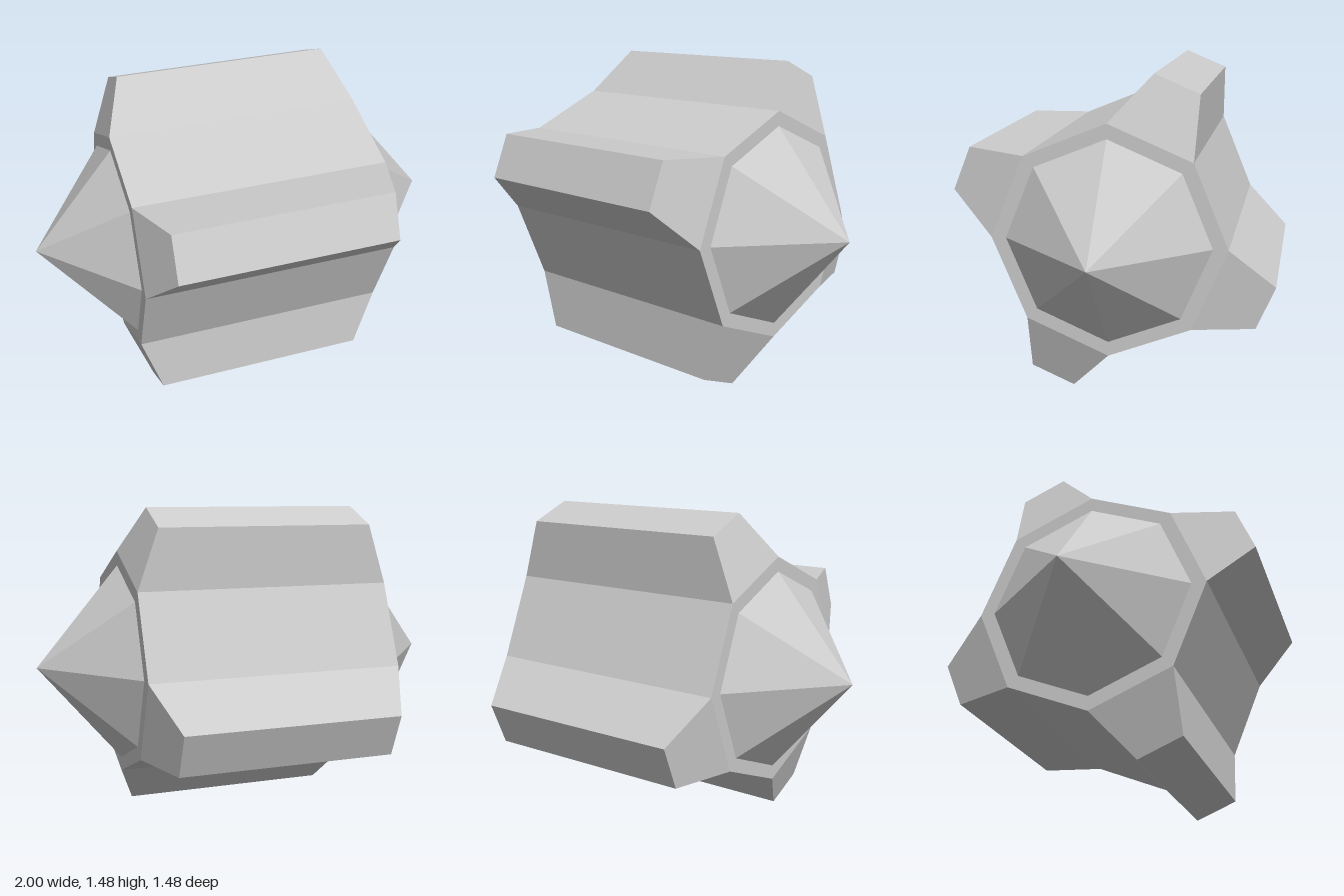
import * as THREE from 'three';

const CENTRE_Y = 0.741;
const HALF_LENGTH = 0.608;
const BODY_RADIUS = 0.535;
const FACE_DIST = BODY_RADIUS * Math.cos(Math.PI / 8); // middle of an octagon face
const FACE_HALF = BODY_RADIUS * Math.sin(Math.PI / 8);

const material = new THREE.MeshStandardMaterial({ color: 0xcccccc, flatShading: true });

function addPart(parent, name, geometry) {
  const mesh = new THREE.Mesh(geometry, material);
  mesh.name = name;
  parent.add(mesh);
  return mesh;
}

// Box standing on one octagon face, tapering towards its outer side
function finGeometry() {
  const outerDist = 0.756, outerHalf = 0.109, outerLength = 0.513;
  const geometry = new THREE.BoxGeometry(2, 2, 2);
  const p = geometry.attributes.position;
  for (let i = 0; i < p.count; i++) {
    const outer = p.getY(i) > 0;
    p.setXYZ(
      i,
      p.getX(i) * (outer ? outerLength : HALF_LENGTH),
      outer ? outerDist : FACE_DIST,
      p.getZ(i) * (outer ? outerHalf : FACE_HALF)
    );
  }
  geometry.computeVertexNormals();
  return geometry;
}

export function createModel() {
  const model = new THREE.Group();
  model.name = 'finnedBarrel';
  const core = new THREE.Group();
  core.name = 'core';
  core.position.y = CENTRE_Y;
  model.add(core);

  // Octagonal body lying along x
  const body = new THREE.CylinderGeometry(BODY_RADIUS, BODY_RADIUS, 2 * HALF_LENGTH, 8);
  addPart(core, 'body', body.rotateZ(Math.PI / 2));

  // Pointed pyramid on each end
  const tipLength = 1 - HALF_LENGTH;
  for (const [side, name] of [[1, 'leftTip'], [-1, 'rightTip']]) {
    const tip = new THREE.ConeGeometry(0.467, tipLength, 8, 1, true);
    tip.rotateZ(-side * Math.PI / 2).translate(side * (HALF_LENGTH + tipLength / 2), 0, 0);
    addPart(core, name, tip);
  }

  // Four fins on every second face
  const fin = finGeometry();
  ['topFin', 'frontFin', 'bottomFin', 'backFin'].forEach((name, i) => {
    addPart(core, name, fin).rotation.x = -Math.PI / 8 + i * Math.PI / 2;
  });

  return model;
}
